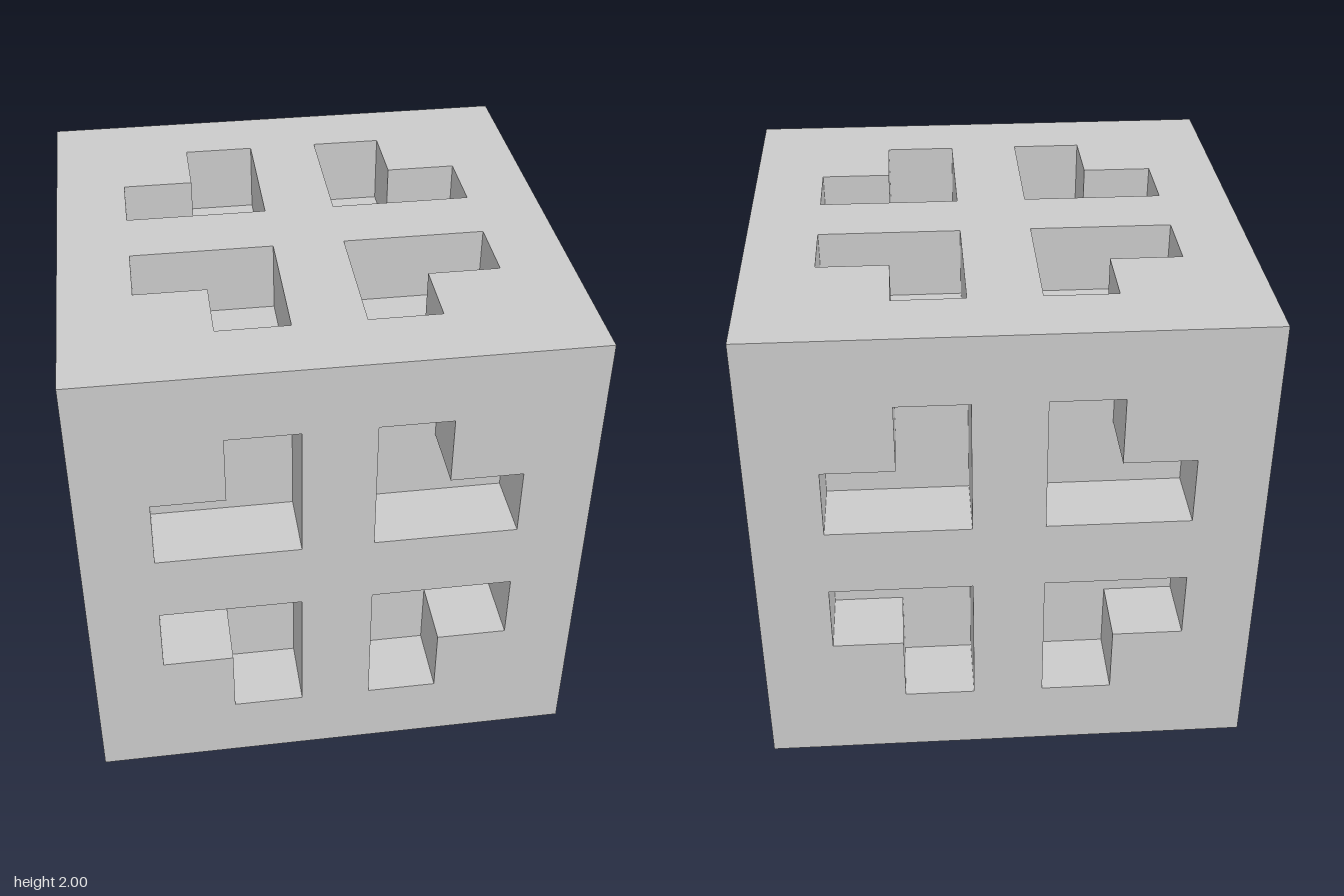
import * as THREE from 'three';
import { mergeGeometries } from 'three/addons/utils/BufferGeometryUtils.js';

const U = 1 / 7;          // half a cell of the 7 x 7 grid on each face
const DEPTH = 2 * U;      // pockets are one cell deep

// L-shaped pocket outline, counter-clockwise, turned into one of four quadrants
function pocketOutline(quadrant) {
  const corners = [[1, 1], [5, 1], [5, 3], [3, 3], [3, 5], [1, 5]];
  return corners.map(([x, y]) =>
    new THREE.Vector2(x * U, y * U).rotateAround(new THREE.Vector2(), quadrant * Math.PI / 2));
}

// Inward-facing walls along an outline, from the face down to the pocket floor
function wallGeometry(outline) {
  const pos = [];
  outline.forEach((a, i) => {
    const b = outline[(i + 1) % outline.length];
    const back = 1 - DEPTH;
    pos.push(a.x, a.y, 1, b.x, b.y, 1, b.x, b.y, back);
    pos.push(a.x, a.y, 1, b.x, b.y, back, a.x, a.y, back);
  });
  const geo = new THREE.BufferGeometry();
  geo.setAttribute('position', new THREE.Float32BufferAttribute(pos, 3));
  geo.computeVertexNormals();
  return geo;
}

function flat(shape, z) {
  const geo = new THREE.ShapeGeometry(shape).toNonIndexed().translate(0, 0, z);
  geo.deleteAttribute('uv');
  return geo;
}

// One cube face looking along +z, with its four pockets
function faceGeometry() {
  const square = new THREE.Shape([[-1, -1], [1, -1], [1, 1], [-1, 1]].map(p => new THREE.Vector2(...p)));
  const parts = [];
  for (let q = 0; q < 4; q++) {
    const outline = pocketOutline(q);
    square.holes.push(new THREE.Path(outline));
    parts.push(wallGeometry(outline), flat(new THREE.Shape(outline), 1 - DEPTH));
  }
  parts.push(flat(square, 1));
  return mergeGeometries(parts);
}

export function createModel() {
  const group = new THREE.Group();
  group.name = 'pocketedCube';
  const material = new THREE.MeshStandardMaterial({ color: 0xcccccc, flatShading: true });
  const geometry = faceGeometry();
  const H = Math.PI / 2;

  // The same face turned to all six sides
  const sides = {
    frontFace: [0, 0], leftFace: [0, H], backFace: [0, 2 * H], rightFace: [0, -H],
    topFace: [-H, 0], bottomFace: [H, 0],
  };
  for (const [name, [rx, ry]] of Object.entries(sides)) {
    const face = new THREE.Mesh(geometry, material);
    face.name = name;
    face.rotation.set(rx, ry, 0);
    face.position.y = 1;
    group.add(face);
  }
  return group;
}
